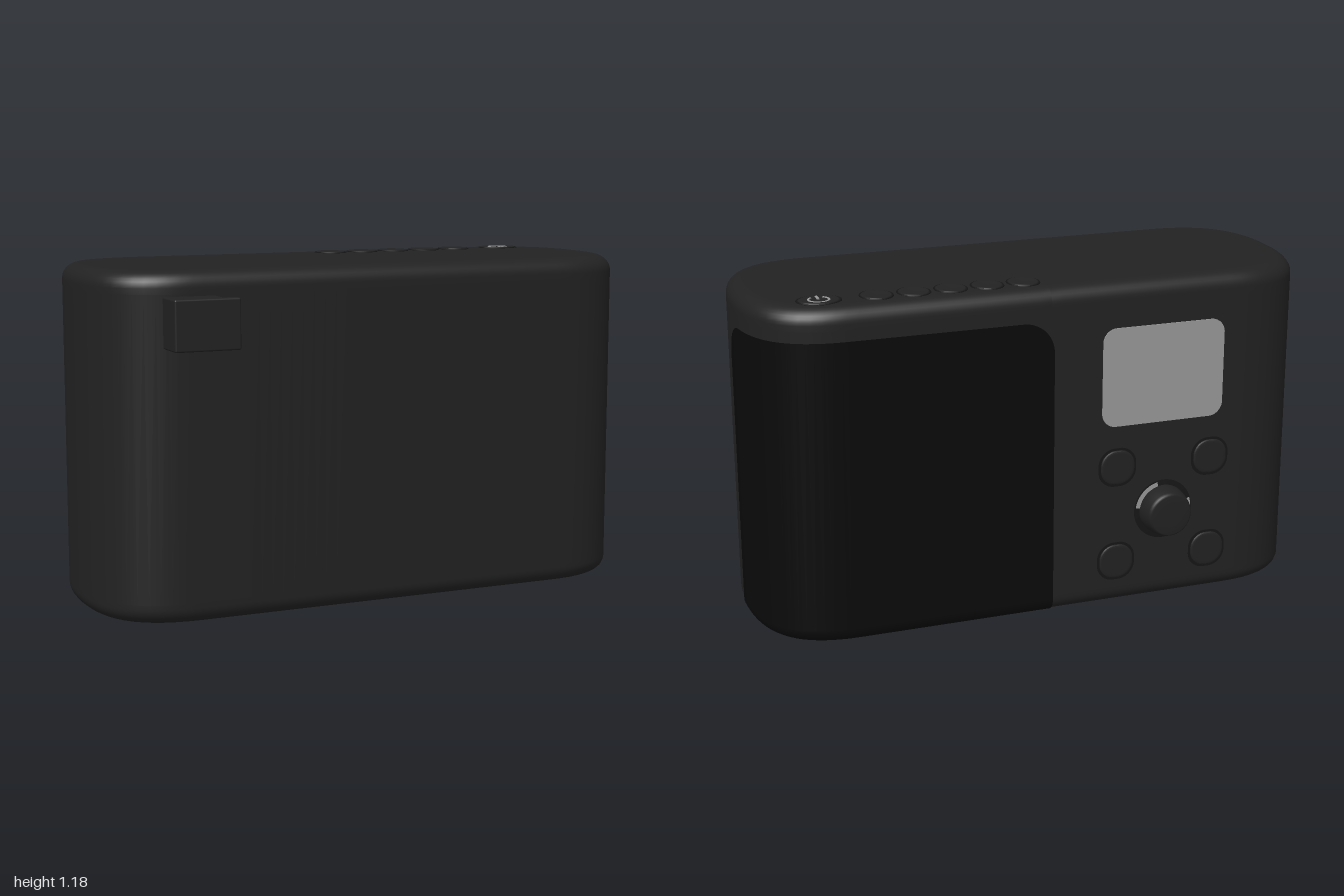
import * as THREE from 'three';
import { RoundedBoxGeometry } from 'three/addons/geometries/RoundedBoxGeometry.js';

const BODY = 0x222222, DARK = 0x0a0a0a, SEAT = 0x161616, LIGHT = 0x999999;
const HALF = 0.375, ZC = -0.015, TOP = 1.172, R = 0.055, BACK = ZC - HALF;

function part(group, name, geometry, color, x = 0, y = 0, z = 0) {
  const material = new THREE.MeshStandardMaterial({ color });
  const mesh = new THREE.Mesh(geometry, material);
  mesh.name = name;
  mesh.position.set(x, y, z);
  group.add(mesh);
  return mesh;
}

// Smooth grid surface from point(u index, v index)
function skin(nu, nv, point) {
  const pos = [], index = [];
  for (let i = 0; i <= nu; i++) for (let j = 0; j <= nv; j++) pos.push(...point(i, j));
  for (let i = 0; i < nu; i++) for (let j = 0; j < nv; j++) {
    const a = i * (nv + 1) + j, b = a + nv + 1;
    index.push(a, a + 1, b, b, a + 1, b + 1);
  }
  const g = new THREE.BufferGeometry();
  g.setAttribute('position', new THREE.Float32BufferAttribute(pos, 3));
  g.setIndex(index);
  g.computeVertexNormals();
  return g;
}

// Quarter outline from the back panel to the tip of the left end
function quarter(startX) {
  const path = new THREE.Path();
  path.moveTo(startX, -HALF);
  path.lineTo(0.7, -HALF);
  path.bezierCurveTo(0.95, -HALF, 1, -0.2, 1, 0);
  return path;
}

// Bottom half of the vertical profile: [inset, height]
const lower = [[HALF, 0], [0.2, 0], [R + 0.01, 0]];
for (let k = 0; k <= 8; k++) {
  const a = (k / 8) * Math.PI / 2;
  lower.push([R * (1 - Math.sin(a)), R * (1 - Math.cos(a))]);
}
const place = (p, d, y, s = 1) => [p.x * (1 - d) * s, y, p.y * (1 - d / HALF) * s + ZC];

function bodyGeometry() {
  const q = quarter(0).getSpacedPoints(32);
  const ring = [...q];
  for (let i = 31; i >= 0; i--) ring.push(new THREE.Vector2(q[i].x, -q[i].y));
  for (let i = 1; i <= 32; i++) ring.push(new THREE.Vector2(-q[i].x, -q[i].y));
  for (let i = 31; i >= 0; i--) ring.push(new THREE.Vector2(-q[i].x, q[i].y));
  const rows = lower.map(([d, y]) => [d, y + 0.003]);
  rows.push([0, R + 0.02], [0, TOP - R - 0.02]);
  rows.push(...lower.map(([d, y]) => [d, TOP - y]).reverse());
  return skin(ring.length - 1, rows.length - 1,
    (i, j) => place(ring[i], rows[j][0], rows[j][1], 0.997));
}

// Speaker cover wraps the back, the left end and the underside
function grilleGeometry() {
  const path = quarter(-0.01), length = path.getLength(), r = 0.11, n = 64;
  return skin(n, lower.length, (i, j) => {
    const t = (1 - Math.cos(Math.PI * i / n)) / 2;
    const s = Math.min(r, t * length, (1 - t) * length);
    const top = 1.06 - r + Math.sqrt(Math.max(0, r * r - (r - s) ** 2));
    const [d, y] = j < lower.length ? lower[j] : [0, top];
    return place(path.getPointAt(t), d, y, 1.003);
  });
}

function roundedRect(w, h, r) {
  const s = new THREE.Shape(), x = w / 2, y = h / 2, c = Math.PI / 2;
  s.absarc(x - r, y - r, r, 0, c);
  s.absarc(r - x, y - r, r, c, 2 * c);
  s.absarc(r - x, r - y, r, 2 * c, 3 * c);
  s.absarc(x - r, r - y, r, 3 * c, 4 * c);
  s.closePath();
  return s;
}

const lathe = pts => new THREE.LatheGeometry(pts.map(p => new THREE.Vector2(...p)), 40);

export function createModel() {
  const model = new THREE.Group();
  model.name = 'portableRadio';
  part(model, 'body', bodyGeometry(), BODY);
  part(model, 'speakerGrille', grilleGeometry(), DARK);

  // Row of preset buttons and the power button on top
  const cap = lathe([[1, -0.01], [0.97, 0.002], [0.88, 0.005], [0.7, 0.004], [0.4, 0.002], [0, 0.001]]);
  const seat = new THREE.TorusGeometry(1, 0.06, 8, 40).rotateX(Math.PI / 2);
  const topButton = (name, x, rx, rz) => {
    const g = new THREE.Group();
    g.name = name;
    g.position.set(x, TOP, -0.27);
    part(g, 'buttonCap', cap, BODY).scale.set(rx, 1, rz);
    part(g, 'buttonSeat', seat, SEAT).scale.set(rx, 0.05, rz);
    model.add(g);
    return g;
  };
  for (let i = 0; i < 5; i++) topButton('presetButton', 0.06 + i * 0.127, 0.054, 0.06);
  const power = topButton('powerButton', 0.76, 0.072, 0.058);
  const arc = new THREE.TorusGeometry(0.034, 0.004, 6, 32, Math.PI * 1.6)
    .rotateZ(-Math.PI * 0.3).rotateX(-Math.PI / 2);
  part(power, 'powerMarkRing', arc, LIGHT, 0, 0.003, 0).scale.y = 0.6;
  part(power, 'powerMarkBar', new THREE.BoxGeometry(0.008, 0.004, 0.034), LIGHT, 0, 0.003, 0.025);

  // Display on the back panel
  const screen = new THREE.ExtrudeGeometry(roundedRect(0.45, 0.35, 0.05), { depth: 0.006, bevelEnabled: false });
  part(model, 'display', screen, LIGHT, -0.41, 0.84, BACK - 0.003);

  // Four soft square buttons around the dial
  const key = new THREE.ExtrudeGeometry(roundedRect(0.1, 0.1, 0.043), {
    depth: 0.004, bevelSize: 0.012, bevelThickness: 0.004, bevelSegments: 4, curveSegments: 12,
  });
  const keySeat = new THREE.ExtrudeGeometry(roundedRect(0.14, 0.14, 0.06), { depth: 0.004, bevelEnabled: false });
  for (const sx of [-1, 1]) for (const sy of [-1, 1]) {
    const x = -0.42 + sx * 0.175, y = 0.34 + sy * 0.175;
    part(model, 'menuButton', key, BODY, x, y, BACK - 0.004);
    part(model, 'menuButtonSeat', keySeat, SEAT, x, y, BACK - 0.001);
  }

  // Tapered dial with its seat and light inlays
  const dial = new THREE.Group();
  dial.name = 'dial';
  dial.position.set(-0.42, 0.34, BACK);
  dial.rotation.x = -Math.PI / 2;
  const knob = lathe([[0.088, -0.01], [0.089, 0.006], [0.087, 0.03], [0.081, 0.06], [0.077, 0.07],
    [0.071, 0.074], [0.04, 0.0745], [0, 0.0745]]);
  part(dial, 'dialKnob', knob, BODY);
  part(dial, 'dialSeat', lathe([[0.108, -0.01], [0.108, 0.002], [0, 0.002]]), SEAT);
  model.add(dial);
  for (const a of [1.8, -0.9]) {
    const inlay = new THREE.RingGeometry(0.08, 0.105, 20, 1, a, 1.2).rotateY(Math.PI);
    part(model, 'dialInlay', inlay, LIGHT, -0.42, 0.34, BACK - 0.004);
  }

  // Antenna bracket on the front: solid block with an open pocket at one end
  const bracket = new THREE.Group();
  bracket.name = 'antennaBracket';
  const block = (name, x0, x1, y0, y1, z0, z1, r) => part(bracket, name,
    new RoundedBoxGeometry(x1 - x0, y1 - y0, z1 - z0, 3, r), BODY, (x0 + x1) / 2, (y0 + y1) / 2, (z0 + z1) / 2);
  block('bracketBlock', -0.797, -0.62, 0.922, 1.09, 0.33, 0.458, 0.006);
  block('bracketFace', -0.797, -0.573, 0.922, 1.09, 0.43, 0.465, 0.006);
  block('bracketLip', -0.7, -0.573, 0.922, 0.97, 0.33, 0.45, 0.006);
  model.add(bracket);
  return model;
}
